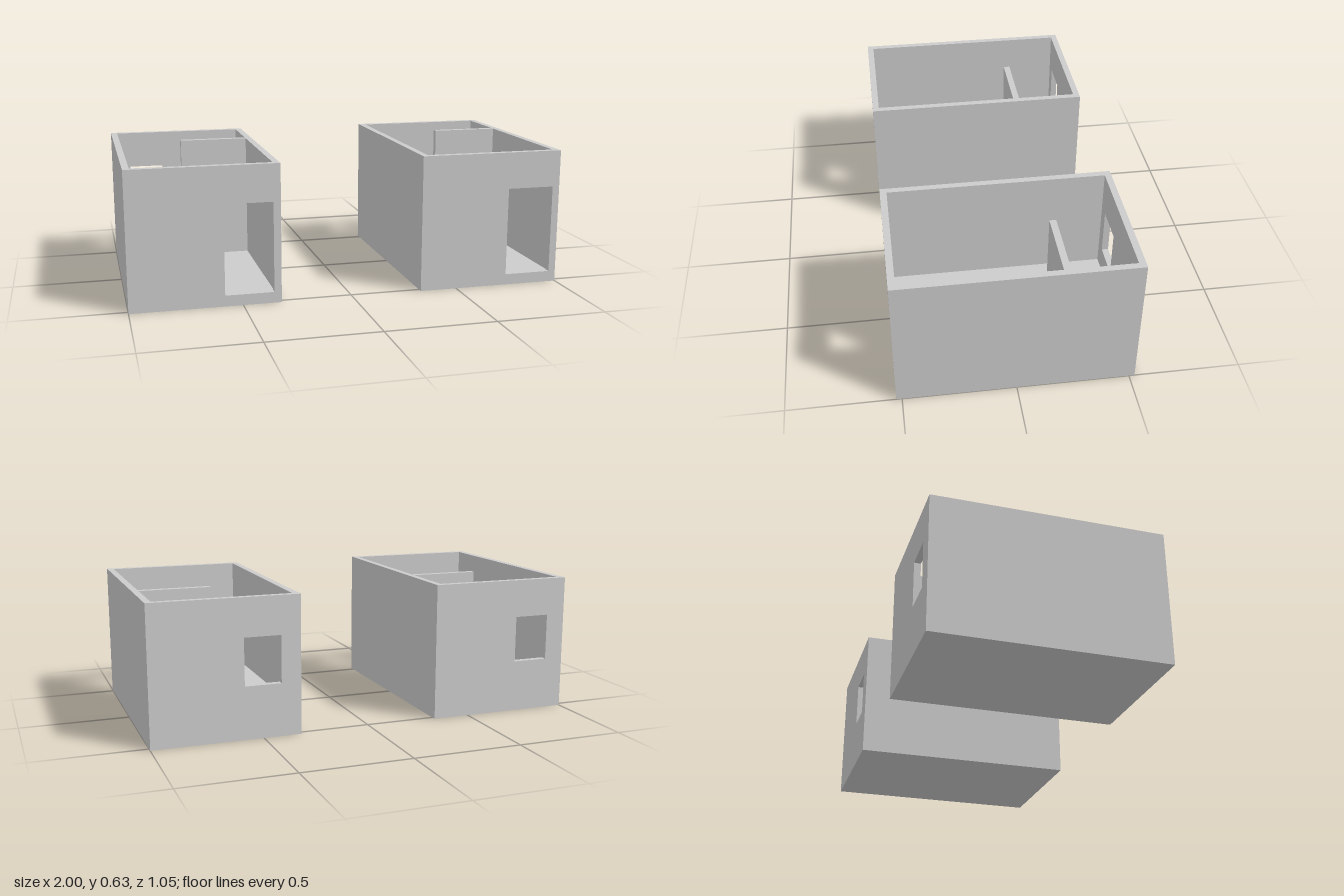
import * as THREE from 'three';

const material = new THREE.MeshStandardMaterial({ color: 0xcccccc, flatShading: true });

// Unit dimensions, each unit centred on its own x and z
const X = 0.3365, Z = 0.525, H = 0.63, T = 0.03;
const XI = X - T, ZI = Z - T;
const LOW = 0.05, HIGH = 0.13;      // floor levels
const STEP_X = -0.0155;             // edge between the two floor levels
const PART_Z = -0.185;              // front face of the partition

function addMesh(parent, name, geometry) {
  const mesh = new THREE.Mesh(geometry, material);
  mesh.name = name;
  parent.add(mesh);
  return mesh;
}

// Box given by its extents
function block(parent, name, x0, x1, y0, y1, z0, z1) {
  const g = new THREE.BoxGeometry(x1 - x0, y1 - y0, z1 - z0);
  g.translate((x0 + x1) / 2, (y0 + y1) / 2, (z0 + z1) / 2);
  return addMesh(parent, name, g);
}

function rect(Type, x0, x1, y0, y1) {
  const p = new Type();
  p.moveTo(x0, y0);
  p.lineTo(x1, y0);
  p.lineTo(x1, y1);
  p.lineTo(x0, y1);
  p.closePath();
  return p;
}

// End wall with one rectangular opening
function wallWithOpening(parent, name, z, x0, x1, y0, y1) {
  const shape = rect(THREE.Shape, -X, X, 0, H);
  shape.holes.push(rect(THREE.Path, x0, x1, y0, y1));
  const g = new THREE.ExtrudeGeometry(shape, { depth: T, bevelEnabled: false });
  g.translate(0, 0, z);
  return addMesh(parent, name, g);
}

function createUnit() {
  const unit = new THREE.Group();

  // Outer walls
  wallWithOpening(unit, 'frontWallWithDoorway', ZI, 0.0835, 0.3035, LOW, 0.46);
  wallWithOpening(unit, 'backWallWithWindow', -Z, -0.2465, -0.08, 0.24, 0.455);
  block(unit, 'leftWall', XI, X, 0, H, -ZI, ZI);
  block(unit, 'rightWall', -X, -XI, 0, H, -ZI, ZI);

  // Floors: a low entrance area, and a raised L around it
  block(unit, 'entranceFloor', STEP_X, XI, 0, LOW, PART_Z, ZI);
  block(unit, 'raisedSideFloor', -XI, STEP_X, 0, HIGH, -ZI, ZI);
  block(unit, 'raisedBackFloor', STEP_X, XI, 0, HIGH, -ZI, PART_Z - T);

  // Partition between the entrance and the back room
  block(unit, 'partition', STEP_X, XI, 0, H, PART_Z - T, PART_Z);

  // Ramp from the entrance up to the raised floor
  const profile = new THREE.Shape();
  profile.moveTo(STEP_X, LOW);
  profile.lineTo(0.08, LOW);
  profile.lineTo(STEP_X, HIGH);
  profile.closePath();
  const ramp = new THREE.ExtrudeGeometry(profile, { depth: 0.145, bevelEnabled: false });
  ramp.translate(0, 0, -0.135);
  addMesh(unit, 'ramp', ramp);

  return unit;
}

export function createModel() {
  const model = new THREE.Group();
  model.name = 'twoRoomUnits';
  for (const [name, side] of [['rightUnit', -1], ['leftUnit', 1]]) {
    const unit = createUnit();
    unit.name = name;
    unit.position.x = side * (1 - X);
    model.add(unit);
  }
  return model;
}
